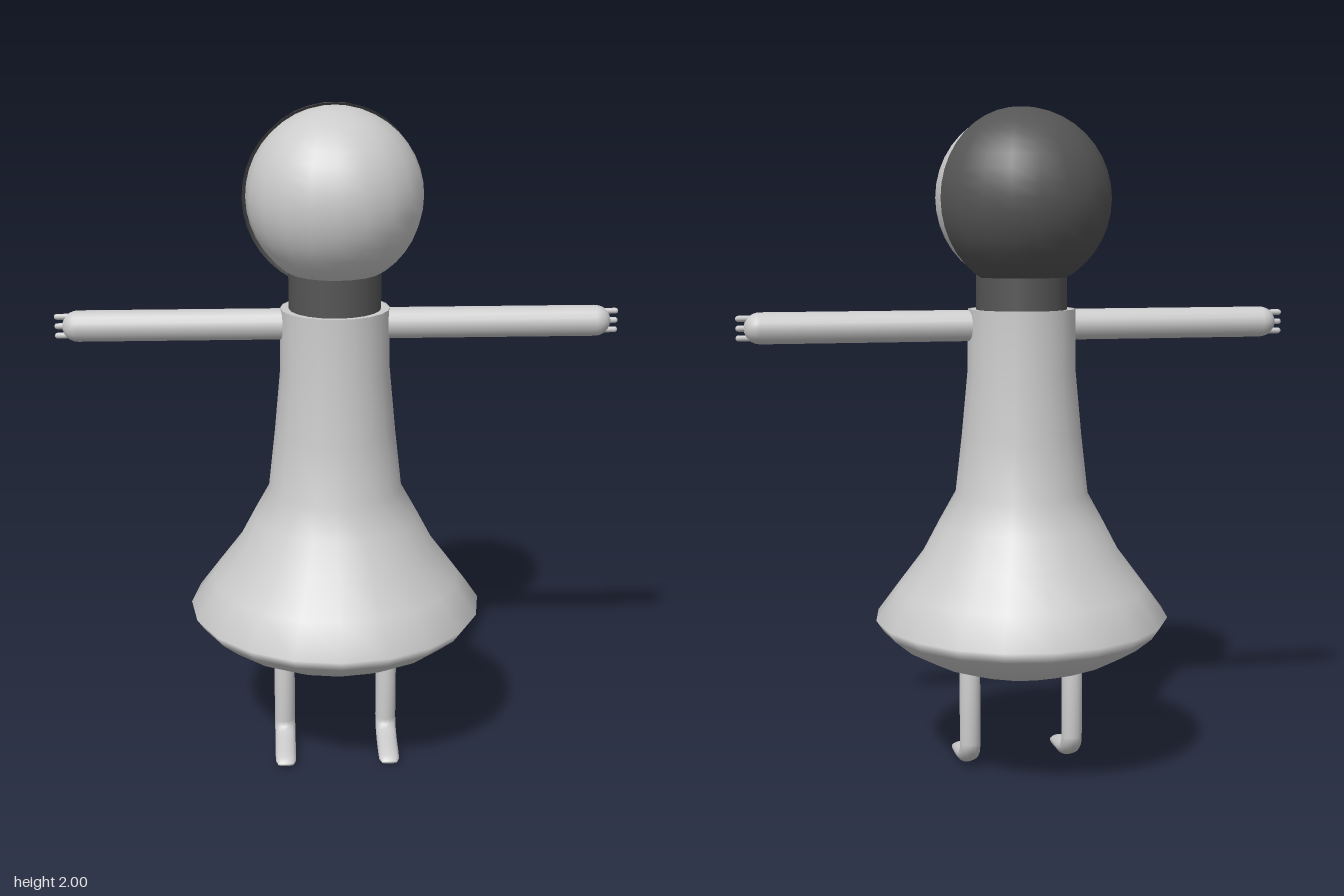
import * as THREE from 'three';

const CX = -0.01; // body axis
const light = new THREE.MeshStandardMaterial({ color: 0xcccccc });
const thin = new THREE.MeshStandardMaterial({ color: 0xcccccc, side: THREE.DoubleSide });
const dark = new THREE.MeshStandardMaterial({ color: 0x555555, side: THREE.DoubleSide });

function add(parent, name, geometry, material, x = 0, y = 0, z = 0) {
  const mesh = new THREE.Mesh(geometry, material);
  mesh.name = name;
  mesh.position.set(x, y, z);
  parent.add(mesh);
  return mesh;
}

// Leg and foot: elliptical rings, each spanning a front point to a back point
function legGeometry() {
  // [half width, front z, front y, back z, back y]
  const rings = [
    [0, 0, 0.35, 0, 0.35],
    [0.032, 0.032, 0.35, -0.032, 0.35],
    [0.032, 0.032, 0.08, -0.032, 0.09],
    [0.032, 0.035, 0.064, -0.022, 0.058],
    [0.032, 0.052, 0.056, 0.01, 0.027],
    [0.032, 0.09, 0.05, 0.05, 0.009],
    [0.032, 0.14, 0.042, 0.12, 0.003],
    [0.031, 0.172, 0.034, 0.163, 0.003],
    [0.024, 0.187, 0.022, 0.184, 0.01],
    [0, 0.188, 0.016, 0.188, 0.016],
  ];
  const n = 16, pos = [], index = [];
  rings.forEach(([w, fz, fy, bz, by], i) => {
    for (let j = 0; j < n; j++) {
      const a = (j / n) * Math.PI * 2, s = Math.sin(a) / 2;
      pos.push(w * Math.cos(a), (fy + by) / 2 + (fy - by) * s, (fz + bz) / 2 + (fz - bz) * s);
      if (i === rings.length - 1) continue;
      const k = (j + 1) % n, p = i * n, q = p + n;
      index.push(p + j, p + k, q + k, p + j, q + k, q + j);
    }
  });
  const g = new THREE.BufferGeometry();
  g.setAttribute('position', new THREE.Float32BufferAttribute(pos, 3));
  g.setIndex(index);
  g.computeVertexNormals();
  return g;
}

export function createModel() {
  const model = new THREE.Group();
  model.name = 'figure';

  // Dress with a domed underside
  const profile = [
    [0, 0.31], [0.1, 0.316], [0.2, 0.336], [0.29, 0.368], [0.37, 0.412], [0.42, 0.454], [0.443, 0.488],
    [0.375, 0.58], [0.3, 0.68], [0.25, 0.775], [0.2, 0.865], [0.18, 1.04], [0.162, 1.23], [0.16, 1.415],
  ].map(([r, y]) => new THREE.Vector2(r, y));
  add(model, 'dress', new THREE.LatheGeometry(profile, 20), thin, CX);
  const collar = add(model, 'collar', new THREE.CircleGeometry(0.16, 20), light, CX, 1.413);
  collar.rotation.x = -Math.PI / 2;

  // Neck, head and the hair shell round the back
  add(model, 'neck', new THREE.CylinderGeometry(0.135, 0.135, 0.18, 20), dark, CX, 1.435);
  add(model, 'head', new THREE.SphereGeometry(0.255, 20, 20), light, CX, 1.737);
  const step = Math.PI / 10;
  add(model, 'hair', new THREE.SphereGeometry(0.265, 9, 20, step * 11, step * 9), dark, CX, 1.735);

  // Arms with fingers, and legs
  const leg = legGeometry();
  for (const side of [1, -1]) {
    const label = side > 0 ? 'left' : 'right';
    const arm = new THREE.Group();
    arm.name = label + 'Arm';
    arm.position.y = 1.367;
    model.add(arm);
    const limb = add(arm, 'limb', new THREE.CapsuleGeometry(0.046, 0.61, 6, 16), light, side * 0.45);
    limb.rotation.z = Math.PI / 2;
    for (const i of [-1, 0, 1]) {
      const finger = add(arm, 'finger', new THREE.CapsuleGeometry(0.009, 0.05, 4, 8), light, side * 0.79, i * 0.028);
      finger.rotation.z = Math.PI / 2;
    }
    add(model, label + 'Leg', leg, light, CX + side * 0.16);
  }
  return model;
}
